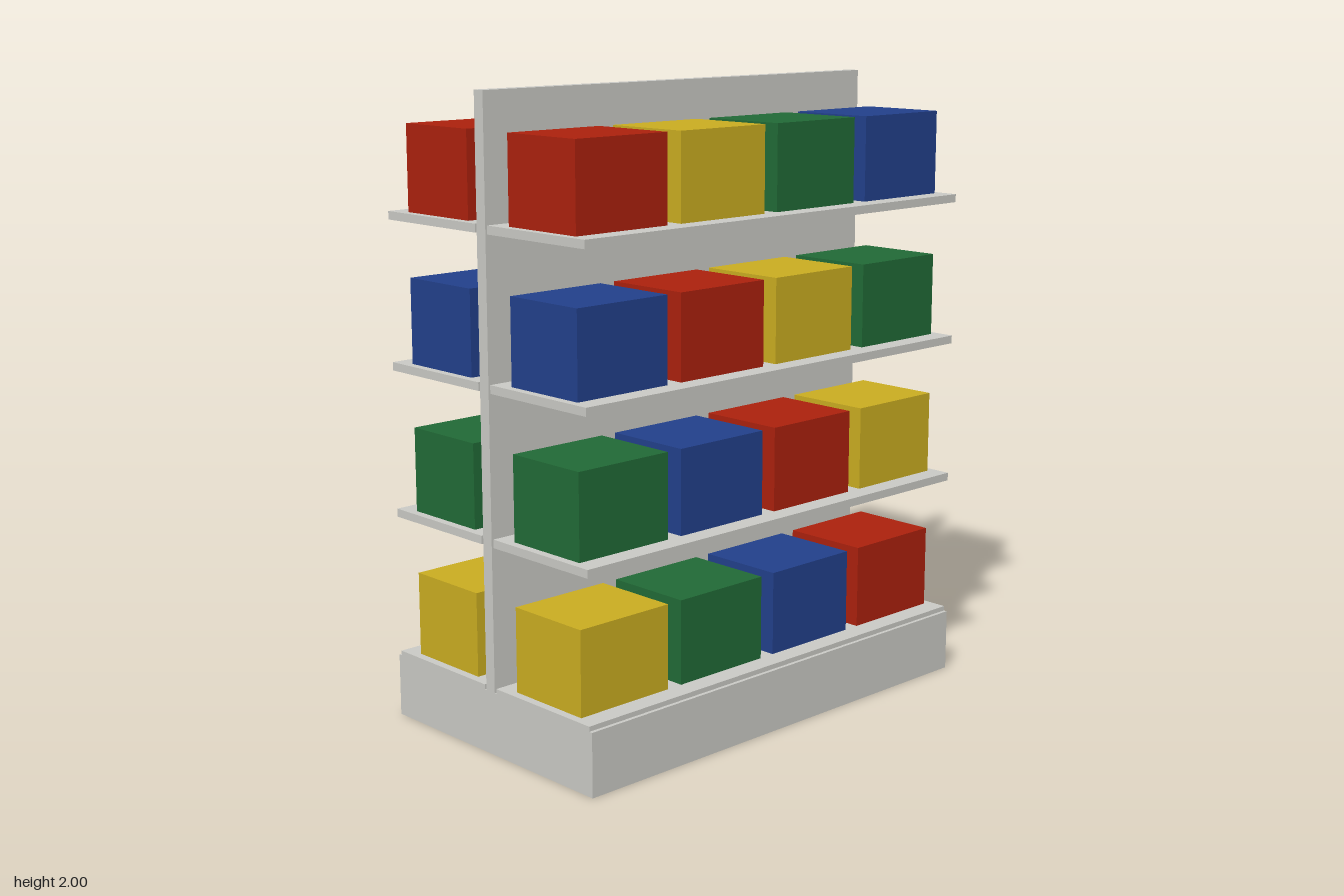
import * as THREE from 'three';

function material(name, color) {
  const m = new THREE.MeshStandardMaterial({ color });
  m.name = name;
  return m;
}

export function createModel() {
  const group = new THREE.Group();
  group.name = 'doubleSidedShelf';

  const grey = material('shelfGrey', 0xcacac5);
  const boxColors = [
    material('yellow', 0xcaad21),
    material('green', 0x216a36),
    material('blue', 0x22408b),
    material('red', 0xac210d),
  ];

  // Adds a block whose underside centre sits at (x, y, z)
  function block(name, mat, w, h, d, x, y, z) {
    const mesh = new THREE.Mesh(new THREE.BoxGeometry(w, h, d), mat);
    mesh.name = name;
    mesh.position.set(x, y + h / 2, z);
    group.add(mesh);
  }

  // Plinth and central divider
  block('base', grey, 1.6, 0.2, 0.928, 0, 0, 0);
  block('backPanel', grey, 1.6, 1.8, 0.04, 0, 0.2, 0);

  // Four levels of shelves on both sides, each with four boxes
  for (const side of [1, -1]) {
    for (let row = 0; row < 4; row++) {
      const top = 0.2155 + row * 0.467;
      block('shelf', grey, 1.6, 0.026, 0.424, 0, top - 0.026, side * 0.24);
      for (let col = 0; col < 4; col++) {
        const mat = boxColors[(row + col) % 4];
        block('productBox', mat, 0.346, 0.267, 0.292, -0.6 + col * 0.4, top, side * 0.24);
      }
    }
  }
  return group;
}
